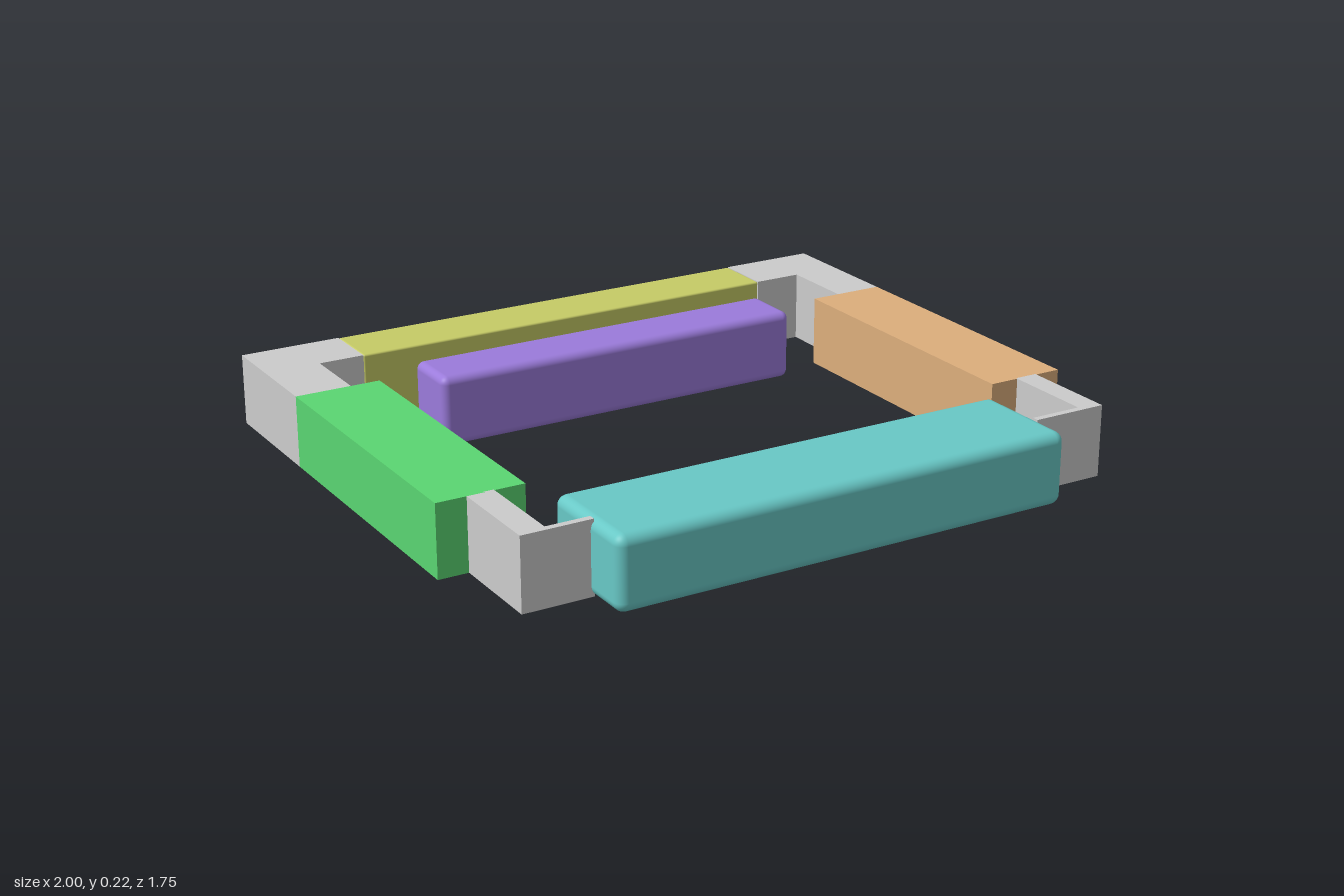
import * as THREE from 'three';
import { RoundedBoxGeometry } from 'three/addons/geometries/RoundedBoxGeometry.js';

const H = 0.215; // every part shares one height

export function createModel() {
  const model = new THREE.Group();
  model.name = 'rectangularFrame';

  const add = (name, geometry, color = 0xcccccc) => {
    const mesh = new THREE.Mesh(geometry, new THREE.MeshStandardMaterial({ color }));
    mesh.name = name;
    model.add(mesh);
  };

  // Block spanning x0..x1 and z0..z1, with optional rounded edges
  const block = (name, x0, x1, z0, z1, color, radius = 0) => {
    const w = x1 - x0, d = z1 - z0;
    const g = radius ? new RoundedBoxGeometry(w, H, d, 4, radius) : new THREE.BoxGeometry(w, H, d);
    add(name, g.translate((x0 + x1) / 2, H / 2, (z0 + z1) / 2), color);
  };

  // Upright prism from an outline of [x, z] points
  const prism = (name, points) => {
    const shape = new THREE.Shape(points.map(([x, z]) => new THREE.Vector2(x, z)));
    const g = new THREE.ExtrudeGeometry(shape, { depth: H, bevelEnabled: false });
    add(name, g.rotateX(Math.PI / 2).translate(0, H, 0));
  };

  // Rear L-shaped corners
  prism('rightRearCorner', [[-1, -0.88], [-0.69, -0.88], [-0.69, -0.695], [-0.83, -0.695], [-0.83, -0.47], [-1, -0.47]]);
  prism('leftRearCorner', [[1, -0.88], [0.7, -0.88], [0.7, -0.695], [0.85, -0.695], [0.85, -0.455], [1, -0.455]]);

  // Thin front brackets that reach in to the front bar
  prism('rightFrontBracket', [[-0.91, 0.435], [-0.83, 0.435], [-0.83, 0.715], [-0.7, 0.715], [-0.7, 0.735], [-0.91, 0.735]]);
  prism('leftFrontBracket', [[0.92, 0.46], [0.85, 0.46], [0.85, 0.74], [0.69, 0.74], [0.69, 0.76], [0.92, 0.76]]);

  // Side and rear bars
  block('rightSideBar', -1, -0.74, -0.47, 0.44, 0x5ad672);
  block('leftSideBar', 0.76, 1, -0.455, 0.465, 0xdcae7c);
  block('rearBar', -0.69, 0.7, -0.88, -0.695, 0xc6cb66, 0.006);

  // Rounded front bar and free inner bar
  block('frontBar', -0.71, 0.7, 0.535, 0.875, 0x68c8c6, 0.03);
  block('innerBar', -0.58, 0.62, -0.575, -0.385, 0x9b7bdb, 0.024);

  return model;
}
